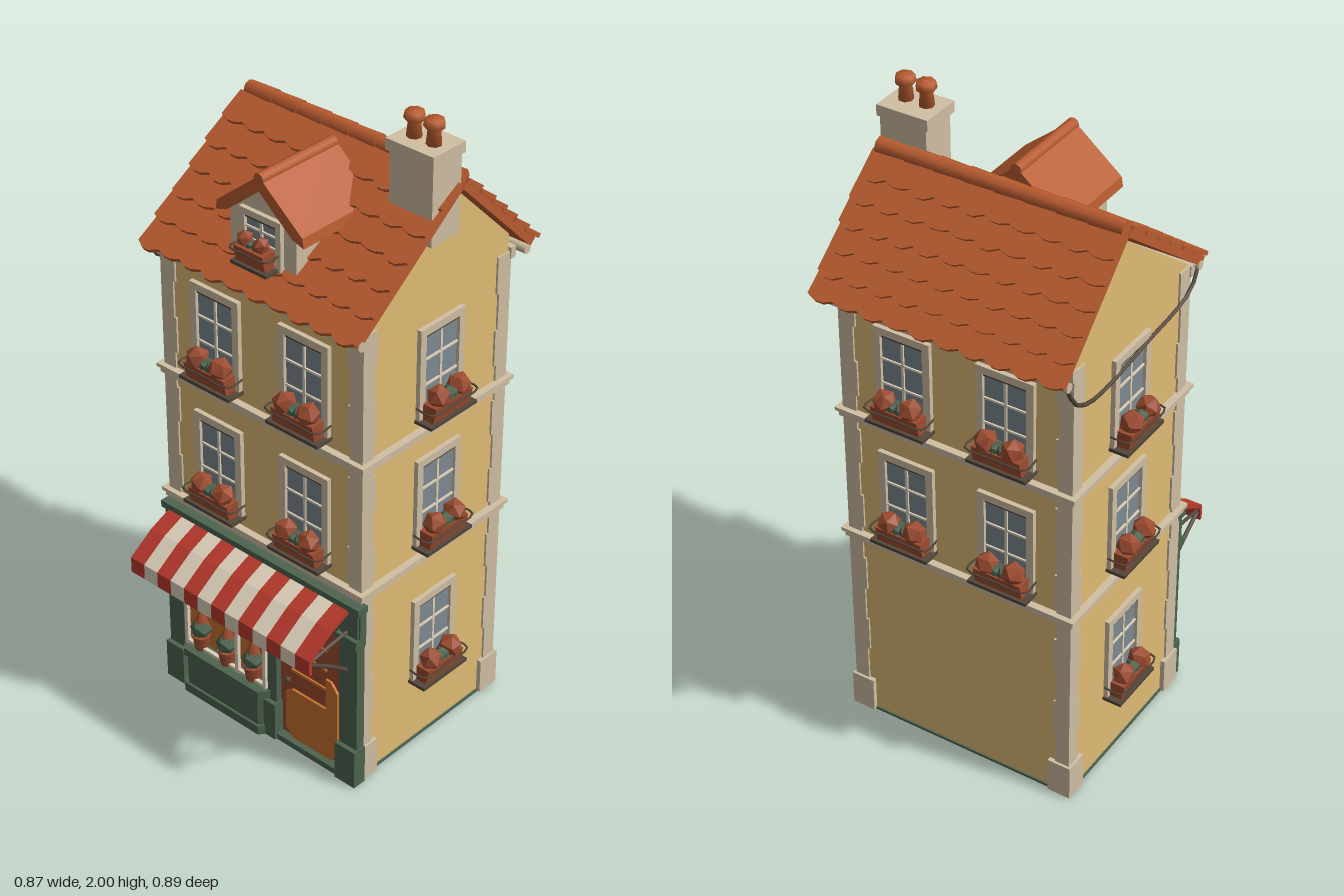
import * as THREE from 'three';

const mat = (name, color, side = THREE.FrontSide) => {
  const m = new THREE.MeshStandardMaterial({ color, side });
  m.name = name;
  return m;
};

export function createModel() {
  const M = {
    plaster: mat('yellow plaster', 0xe0bb74),
    stone: mat('pale stone', 0xd0bfa2),
    tile: mat('roof tile', 0xb95c30),
    green: mat('shop green', 0x4d6450),
    red: mat('awning red', 0xb8392c),
    canvas: mat('awning cream', 0xdfd2bb),
    glass: mat('window glass', 0x7e8a92),
    wood: mat('orange wood', 0xc8702f),
    clay: mat('flower clay', 0x9c4c30),
    metal: mat('dark iron', 0x54463a),
  };
  const house = new THREE.Group();
  house.name = 'townhouse';

  let seed = 7;
  const rand = () => (seed = (seed * 16807) % 2147483647) / 2147483647;
  const add = (name, geo, material, parent = house) => {
    const m = new THREE.Mesh(geo, material);
    m.name = name;
    parent.add(m);
    return m;
  };
  // box given by its min and max corners
  const box = (name, [x0, x1], [y0, y1], [z0, z1], material, parent) => {
    const g = new THREE.BoxGeometry(x1 - x0, y1 - y0, z1 - z0);
    g.translate((x0 + x1) / 2, (y0 + y1) / 2, (z0 + z1) / 2);
    return add(name, g, material, parent);
  };
  const poly = pts => new THREE.Shape(pts.map(p => new THREE.Vector2(...p)));
  const extrude = (shape, depth) =>
    new THREE.ExtrudeGeometry(shape, { depth, bevelEnabled: false });
  // (z, y) profile swept along x
  const sweepX = (pts, x0, x1) =>
    extrude(poly(pts.map(([z, y]) => [-z, y])), x1 - x0).rotateY(Math.PI / 2).translate(x0, 0, 0);
  const rod = (name, pts, r, material, parent) => add(name, new THREE.TubeGeometry(
    new THREE.CatmullRomCurve3(pts.map(p => new THREE.Vector3(...p))), 16, r, 6), material, parent);

  // walls with gables
  const W = 0.365, ZF = 0.237, ZB = -0.345, RZ = -0.12;
  add('walls', sweepX([[ZB, 0.006], [ZF, 0.006], [ZF, 1.5], [RZ, 1.775], [ZB, 1.55]], -W, W), M.plaster);
  box('floorSlab', [-W - 0.005, W + 0.005], [0, 0.008], [ZB - 0.005, ZF + 0.02], M.green);

  // floor bands and corner stones
  for (const y of [0.66, 1.085]) {
    box('floorBand', [-W - 0.014, W + 0.014], [y - 0.015, y + 0.015], [ZB - 0.014, ZF + 0.014], M.stone);
    box('floorBandLip', [-W - 0.022, W + 0.022], [y + 0.004, y + 0.015], [ZB - 0.022, ZF + 0.022], M.stone);
  }
  for (const sx of [-1, 1]) for (const back of [true, false]) {
    for (let i = 0; i < 13; i++) {
      const w = i === 0 ? 0.06 : i % 2 ? 0.04 : 0.048, e = i === 0 ? 0.014 : 0.006;
      const x = sx > 0 ? [W - w, W + e] : [-W - e, -W + w];
      const z = back ? [ZB - e, ZB + w] : [ZF - w, ZF + e];
      box('cornerStone', x, [i * 0.115 + 0.002, i * 0.115 + 0.117], z, M.stone);
    }
  }

  // window with frame, bars and flower box; origin at the bottom middle of the opening
  const windowUnit = (x, y, z, ry, w = 0.135, h = 0.25, boxW = 0.19) => {
    const g = new THREE.Group();
    g.name = 'window';
    const a = w / 2, t = w * 0.17;
    const frame = poly([[-a - t, -t], [a + t, -t], [a + t, h + t], [-a - t, h + t]]);
    frame.holes.push(poly([[-a, 0], [-a, h], [a, h], [a, 0]]));
    add('windowFrame', extrude(frame, 0.014), M.stone, g);
    box('glass', [-a, a], [0, h], [0, 0.004], M.glass, g);
    box('uprightBar', [-0.004, 0.004], [0, h], [0.004, 0.009], M.canvas, g);
    for (const k of [0.36, 0.68])
      box('crossBar', [-a, a], [h * k - 0.003, h * k + 0.003], [0.004, 0.009], M.canvas, g);
    box('innerFrameTop', [-a, a], [h - 0.008, h], [0.004, 0.01], M.metal, g);
    const b = boxW / 2, s = boxW / 0.19;
    add('flowerBox', sweepX([[0.012, -0.01], [0.05, -0.01], [0.06, 0.04], [0.012, 0.04]], -b * 0.8, b * 0.8), M.clay, g);
    box('flowerShelf', [-b, b], [-0.02, -0.01], [0, 0.06], M.metal, g);
    rod('flowerRail', [[-b, 0.03, 0.005], [-b, 0.03, 0.06], [0, 0.03, 0.066], [b, 0.03, 0.06], [b, 0.03, 0.005]], 0.003, M.metal, g);
    for (const k of [-1, 1]) {
      const f = add('flowers', new THREE.IcosahedronGeometry(0.036 * s, 0), M.clay, g);
      f.position.set(k * 0.042 * s, 0.058, 0.038);
      f.rotation.set(rand() * 3, rand() * 3, 0);
      const l = add('leaves', new THREE.IcosahedronGeometry(0.025 * s, 0), M.green, g);
      l.position.set(k * 0.012, 0.045, 0.036);
    }
    g.position.set(x, y, z);
    g.rotation.y = ry;
    house.add(g);
  };
  for (const y of [0.725, 1.145]) {
    for (const x of [-0.163, 0.163]) {
      windowUnit(x, y, ZF, 0);
      windowUnit(x, y, ZB, Math.PI);
    }
  }
  for (const y of [0.245, 0.725, 1.145])
    for (const s of [-1, 1]) windowUnit(s * W, y, -0.065, s * Math.PI / 2);

  // tiled roof: each slope is a slab with overlapping scalloped courses
  const tileCourse = (width, s0, s1, count) => {
    const s = new THREE.Shape(), step = width / count;
    s.moveTo(-width / 2, s0);
    s.lineTo(width / 2, s0);
    s.lineTo(width / 2, s1);
    for (let i = 0; i < count; i++) {
      const x = width / 2 - i * step, tip = s1 + 0.008 + rand() * 0.008;
      s.lineTo(x - step * 0.35, tip);
      s.lineTo(x - step * 0.65, tip);
      s.lineTo(x - step, s1);
    }
    return extrude(s, 0.013);
  };
  const slope = (name, dir, run, rise, rows) => {
    const g = new THREE.Group();
    g.name = name;
    const len = Math.hypot(run, rise);
    const X = new THREE.Vector3(-dir, 0, 0);
    const Y = new THREE.Vector3(0, -rise, dir * run).normalize();
    const N = new THREE.Vector3().crossVectors(X, Y);
    g.applyMatrix4(new THREE.Matrix4().makeBasis(X, Y, N).setPosition(0, 1.785, RZ));
    box('roofSlab', [-0.385, 0.385], [0, len], [0, 0.028], M.tile, g);
    const step = len / rows;
    for (let i = 0; i < rows; i++) {
      const geo = tileCourse(0.775 + rand() * 0.015, 0, step + 0.004, 10);
      const m = add('tileCourse', geo, M.tile, g);
      m.position.set(0, i * step, 0.02);
      m.rotation.x = 0.13;
    }
    house.add(g);
  };
  slope('frontRoof', 1, 0.395, 0.305, 6);
  slope('backRoof', -1, 0.295, 0.295, 6);
  for (let i = 0; i < 8; i++) {
    const r = add('ridgeTile', new THREE.CylinderGeometry(0.024, 0.027, 0.1, 8).rotateZ(Math.PI / 2), M.tile);
    r.position.set(-0.33 + i * 0.094, 1.812, RZ - 0.005);
  }

  // eave gutters and sagging side pipe
  box('frontCornice', [-W - 0.01, W + 0.01], [1.46, 1.495], [ZF, ZF + 0.02], M.stone);
  box('backCornice', [-W - 0.01, W + 0.01], [1.475, 1.51], [ZB - 0.02, ZB], M.stone);
  for (const z of [0.268, -0.4])
    add('gutter', new THREE.CylinderGeometry(0.014, 0.014, 0.775, 8).rotateZ(Math.PI / 2), M.stone).position.set(0, 1.487, z);
  rod('sidePipe', [[-0.378, 1.485, 0.27], [-0.382, 1.43, 0.225], [-0.38, 1.39, 0], [-0.38, 1.37, -0.28],
    [-0.38, 1.41, -0.36], [-0.378, 1.485, -0.4]], 0.006, M.metal);

  // dormer
  const dormer = extrude(poly([[-0.115, 1.52], [0.12, 1.52], [0.12, 1.685], [0.003, 1.785], [-0.115, 1.685]]), 0.26);
  add('dormerWalls', dormer.translate(0, 0, -0.035), M.stone);
  const cap = extrude(poly([[-0.155, 1.672], [-0.115, 1.685], [0.003, 1.782], [0.12, 1.685], [0.16, 1.672],
    [0.155, 1.702], [0.003, 1.827], [-0.15, 1.702]]), 0.285);
  add('dormerRoof', cap.translate(0, 0, -0.045), M.tile);
  add('dormerRidge', new THREE.CylinderGeometry(0.018, 0.018, 0.285, 8).rotateX(Math.PI / 2), M.tile)
    .position.set(0.003, 1.817, 0.098);
  windowUnit(0.003, 1.585, 0.225, 0, 0.11, 0.11, 0.13);

  // chimney
  box('chimneyStack', [0.237, 0.383], [1.66, 1.9], [-0.112, 0], M.stone);
  box('chimneyCap', [0.228, 0.39], [1.895, 1.928], [-0.118, 0.008], M.stone);
  for (const x of [0.276, 0.342]) {
    const pot = [[0.001, 0], [0.022, 0], [0.018, 0.04], [0.03, 0.052], [0.026, 0.072], [0.001, 0.072]];
    add('chimneyPot', new THREE.LatheGeometry(pot.map(p => new THREE.Vector2(...p)), 7), M.tile)
      .position.set(x, 1.928, -0.05);
  }

  // shopfront: posts, fascia and bowed base
  const post = (x0, x1) => {
    box('shopPost', [x0, x1], [0, 0.62], [ZF, 0.268], M.green);
    box('shopPostBase', [x0 - 0.005, x1 + 0.005], [0, 0.13], [ZF, 0.282], M.green);
    box('shopPostHead', [x0 - 0.005, x1 + 0.005], [0.5, 0.53], [ZF, 0.28], M.green);
  };
  post(-0.365, -0.305);
  post(0.035, 0.07);
  post(0.315, 0.38);
  box('shopFascia', [-0.37, 0.385], [0.5, 0.63], [ZF, 0.262], M.green);
  box('shopFasciaLip', [-0.375, 0.39], [0.618, 0.64], [ZF, 0.275], M.green);
  const bay = (name, y0, y1, e) => add(name, extrude(poly([[-0.32 - e, -ZF], [-0.27 - e, -0.292 - e],
    [0.015 + e, -0.292 - e], [0.06 + e, -ZF]].reverse()), y1 - y0).rotateX(-Math.PI / 2).translate(0, y0, 0), M.green);
  bay('bayBase', 0, 0.135, 0);
  bay('bayPlinth', 0, 0.03, 0.008);
  bay('baySill', 0.135, 0.16, 0.008);

  // shop window with display
  box('displayBack', [-0.305, 0.035], [0.16, 0.5], [ZF, 0.242], M.wood);
  for (const x of [-0.29, -0.085, 0.025])
    box('shopUprightBar', [x - 0.006, x + 0.006], [0.16, 0.5], [0.262, 0.274], M.canvas);
  for (const y of [0.168, 0.335])
    box('shopCrossBar', [-0.29, 0.025], [y - 0.005, y + 0.005], [0.262, 0.274], M.canvas);
  for (const x of [-0.24, -0.135, -0.03]) {
    add('displayPot', new THREE.CylinderGeometry(0.028, 0.02, 0.05, 8), M.clay).position.set(x, 0.185, 0.262);
    add('displayLeaves', new THREE.IcosahedronGeometry(0.034, 0), M.green).position.set(x, 0.235, 0.262);
    add('displayFlower', new THREE.ConeGeometry(0.026, 0.07, 6), M.clay).position.set(x, 0.28, 0.258);
  }

  // door
  box('door', [0.07, 0.315], [0.01, 0.5], [ZF, 0.248], M.clay);
  const leaf = new THREE.Shape();
  leaf.moveTo(0.095, 0.05).lineTo(0.12, 0.02).lineTo(0.27, 0.02).lineTo(0.295, 0.05)
    .lineTo(0.295, 0.28).lineTo(0.27, 0.31).lineTo(0.25, 0.31).lineTo(0.25, 0.2).lineTo(0.12, 0.2).lineTo(0.095, 0.18);
  add('doorPanel', extrude(leaf, 0.008).translate(0, 0, 0.248), M.wood);
  for (const y of [0.27, 0.34, 0.41])
    box('doorBar', [0.115, 0.25], [y - 0.004, y + 0.004], [0.248, 0.254], M.wood);
  add('doorKnob', new THREE.SphereGeometry(0.01, 8, 6), M.metal).position.set(0.105, 0.23, 0.258);
  box('doorStep', [0.07, 0.315], [0, 0.02], [ZF, 0.275], M.green);

  // striped awning with hanging edge and struts
  const stripe = 0.695 / 13;
  for (let i = 0; i < 13; i++) {
    const x = -0.345 + i * stripe;
    add('awningStripe', sweepX([[0.24, 0.622], [0.34, 0.58], [0.418, 0.53], [0.42, 0.484], [0.43, 0.484],
      [0.43, 0.535], [0.345, 0.592], [0.24, 0.636]], x, x + stripe), i % 2 ? M.canvas : M.red);
  }
  for (const x of [-0.335, 0.34]) {
    rod('awningStrut', [[x, 0.4, 0.262], [x, 0.46, 0.34], [x, 0.512, 0.418]], 0.007, M.metal);
    rod('awningArm', [[x, 0.54, 0.25], [x, 0.53, 0.34], [x, 0.518, 0.418]], 0.006, M.metal);
  }
  return house;
}
